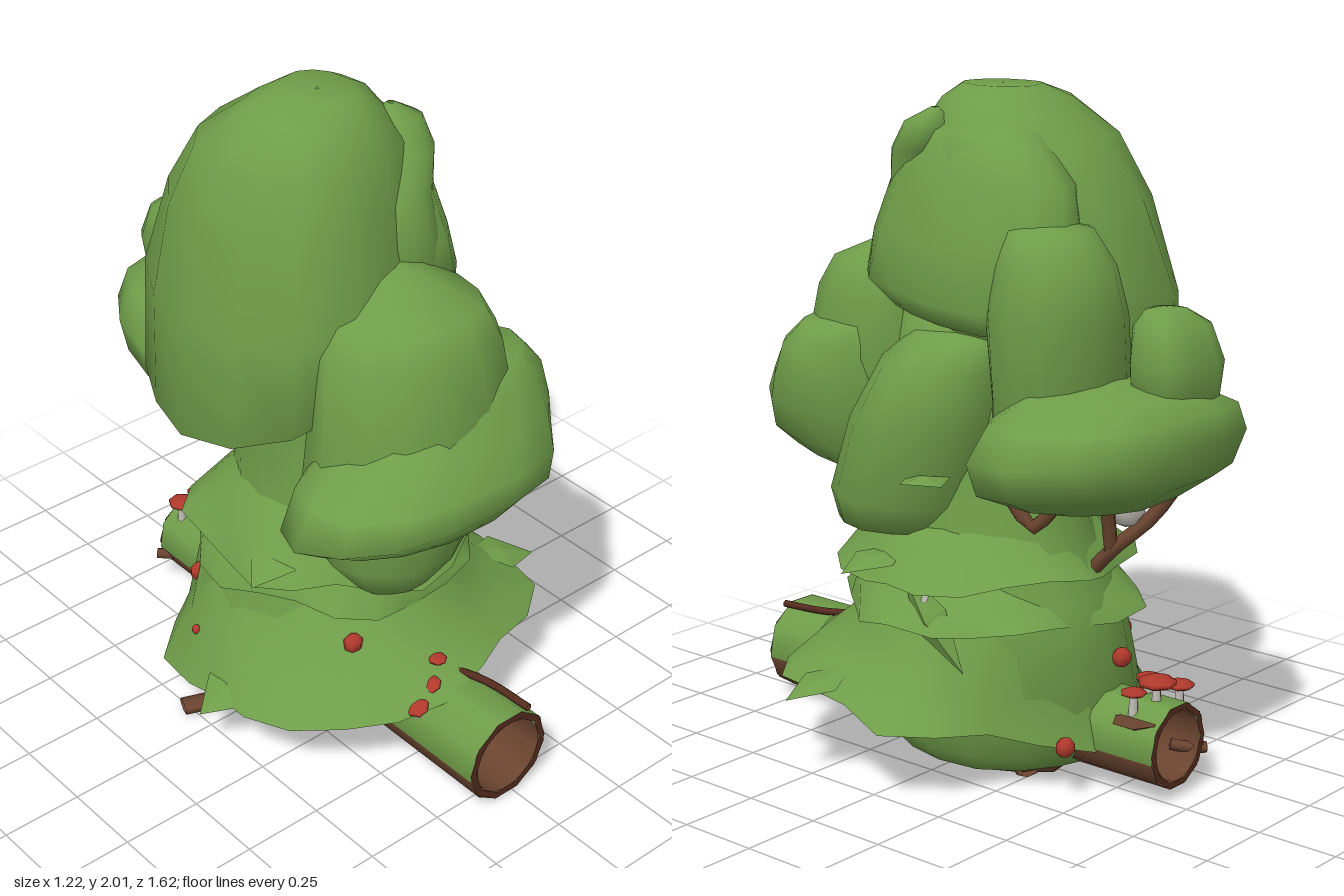
import * as THREE from 'three';

const mat = (name, color, side = THREE.DoubleSide) => {
  const m = new THREE.MeshStandardMaterial({ color, side });
  m.name = name;
  return m;
};
const power = (v, e) => Math.sign(v) * Math.abs(v) ** e;

export function createModel() {
  const root = new THREE.Group();
  root.name = 'overgrownTree';
  const green = mat('leaf green', 0x6f9d49);
  const brown = mat('bark brown', 0x6b4530);
  const darkBrown = mat('dark bark', 0x552c1e);
  const red = mat('berry red', 0xb0392c);
  const grey = mat('pale grey', 0xc2beb6);

  const add = (name, geo, material, parent = root) => {
    const m = new THREE.Mesh(geo, material);
    m.name = name;
    parent.add(m);
    return m;
  };

  // Lofted lump from rings [y, cx, cz, rx, rz, slopeX, slopeZ], bottom to top.
  function loft(rings, { seg = 16, amp = 0.05, seed = 1, jag = 0, box = 1 } = {}) {
    const pos = [], idx = [];
    rings.forEach(([y, cx, cz, rx, rz, sx = 0, sz = 0], i) => {
      for (let j = 0; j < seg; j++) {
        const a = (j / seg) * Math.PI * 2;
        let k = 1 + amp * (0.6 * Math.sin(3 * a + seed + i * 0.5) + 0.4 * Math.sin(5 * a + seed * 2.3 - i * 0.6));
        if (i === 0) k += jag * Math.sin(j * 1.7 + seed * 3);
        const x = rx * k * power(Math.cos(a), box), z = rz * k * power(Math.sin(a), box);
        const drop = i === 0 ? jag * 0.3 * Math.sin(j * 1.3 + seed) : 0;
        pos.push(cx + x, y + sx * x + sz * z + drop, cz + z);
        if (i < rings.length - 1) {
          const n = (j + 1) % seg, p = i * seg, q = p + seg;
          idx.push(p + j, q + j, q + n, p + j, q + n, p + n);
        }
      }
    });
    const g = new THREE.BufferGeometry();
    g.setAttribute('position', new THREE.Float32BufferAttribute(pos, 3));
    g.setIndex(idx);
    g.computeVertexNormals();
    return g;
  }

  // Body inside the leaf layers
  add('body', loft([
    [0.02, -0.06, -0.02, 0.01, 0.01], [0.03, -0.06, -0.02, 0.3, 0.34], [0.09, -0.06, -0.02, 0.36, 0.4],
    [0.22, -0.05, -0.03, 0.38, 0.43], [0.4, -0.02, -0.03, 0.36, 0.42], [0.55, 0, -0.03, 0.34, 0.4], [0.75, 0, 0, 0.29, 0.33],
    [1.0, 0, 0, 0.28, 0.32], [1.35, -0.03, 0, 0.25, 0.28], [1.4, -0.03, 0, 0.01, 0.01],
  ], { seed: 2, amp: 0.03 }), green);

  // Leaf skirts around the trunk
  const skirts = [
    [[0.205, -0.01, 0.08, 0.56, 0.53, 0.07, 0.13], [0.3, -0.01, 0.05, 0.45, 0.48, 0.05, 0.06], [0.41, 0, 0, 0.38, 0.43], [0.54, 0, -0.03, 0.31, 0.39]],
    [[0.49, 0.02, -0.03, 0.43, 0.44, 0.02, -0.02], [0.55, 0.01, -0.02, 0.39, 0.41], [0.64, 0, 0, 0.3, 0.33]],
    [[0.6, 0.01, 0, 0.44, 0.43, 0.05, -0.05], [0.67, 0, 0, 0.37, 0.38], [0.78, 0, 0.02, 0.27, 0.3]],
  ];
  skirts.forEach((r, i) => add('leafSkirt' + (i + 1), loft(r, { seg: 22, amp: 0.05, seed: i + 1.4, jag: 0.06 }), green));

  // Foliage masses
  const blobs = {
    crown: [[1.13, -0.13, -0.08, 0.01, 0.01], [1.13, -0.13, -0.08, 0.28, 0.3, 0.45, 0.12], [1.2, -0.13, -0.08, 0.385, 0.42, 0.45, 0.12],
      [1.45, -0.13, -0.08, 0.36, 0.42, 0.2], [1.7, -0.1, -0.07, 0.34, 0.35, 0.08], [1.86, -0.09, -0.04, 0.29, 0.28],
      [1.96, -0.08, -0.01, 0.19, 0.18], [2.0, -0.06, -0.01, 0.1, 0.12], [2.0, -0.06, -0.01, 0.005, 0.005]],
    crownSide: [[1.37, 0.12, -0.06, 0.01, 0.01], [1.35, 0.12, -0.06, 0.15, 0.28, 0, 0.1], [1.42, 0.13, -0.05, 0.19, 0.36, 0, 0.1],
      [1.58, 0.11, -0.07, 0.185, 0.36], [1.75, 0.09, -0.08, 0.16, 0.31], [1.88, 0.07, -0.06, 0.12, 0.2], [1.96, 0.03, -0.03, 0.01, 0.01]],
    crownRidge: [[1.38, 0.08, 0.22, 0.01, 0.01], [1.43, 0.07, 0.22, 0.1, 0.08], [1.6, 0.06, 0.22, 0.11, 0.08],
      [1.72, 0.06, 0.2, 0.1, 0.07], [1.82, 0.12, 0.14, 0.09, 0.08], [1.9, 0.13, 0.1, 0.07, 0.07], [1.94, 0.12, 0.09, 0.01, 0.01]],
    backShoulder: [[0.85, 0.06, -0.3, 0.01, 0.01], [0.9, 0.06, -0.3, 0.2, 0.14], [1.15, 0.08, -0.36, 0.23, 0.17],
      [1.4, 0.11, -0.36, 0.22, 0.18], [1.54, 0.13, -0.36, 0.17, 0.17], [1.64, 0.13, -0.33, 0.12, 0.13], [1.67, 0.13, -0.3, 0.01, 0.01]],
    rightMass: [[0.71, 0.17, 0.16, 0.01, 0.01], [0.73, 0.17, 0.16, 0.19, 0.21], [0.82, 0.18, 0.14, 0.22, 0.25],
      [1.05, 0.18, 0.06, 0.23, 0.25], [1.22, 0.17, 0.0, 0.2, 0.21], [1.31, 0.15, -0.04, 0.13, 0.15], [1.33, 0.14, -0.04, 0.01, 0.01]],
    frontMass: [[0.63, -0.14, 0.42, 0.01, 0.01], [0.65, -0.14, 0.42, 0.13, 0.1], [0.76, -0.13, 0.4, 0.22, 0.19],
      [0.95, -0.08, 0.37, 0.29, 0.25], [1.2, -0.04, 0.37, 0.3, 0.25], [1.38, -0.04, 0.34, 0.27, 0.24],
      [1.47, -0.03, 0.31, 0.22, 0.22], [1.55, -0.02, 0.25, 0.08, 0.1], [1.57, -0.02, 0.25, 0.005, 0.005]],
    frontLobe: [[0.9, -0.08, 0.47, 0.01, 0.01], [0.875, -0.09, 0.47, 0.34, 0.22, 0, 0.18], [0.94, -0.1, 0.47, 0.43, 0.27, 0, 0.15],
      [1.04, -0.06, 0.46, 0.41, 0.27, 0, 0.05], [1.13, 0.02, 0.44, 0.34, 0.23], [1.23, 0.07, 0.43, 0.27, 0.19],
      [1.29, 0.1, 0.41, 0.19, 0.15], [1.3, 0.12, 0.4, 0.01, 0.01]],
    backLobe: [[0.92, 0.06, -0.48, 0.01, 0.01], [0.9, 0.06, -0.47, 0.3, 0.21], [0.95, 0.06, -0.49, 0.4, 0.29, 0, -0.08],
      [1.05, 0.07, -0.5, 0.43, 0.31, 0, -0.08], [1.14, 0.07, -0.51, 0.37, 0.29, 0, -0.06], [1.2, 0.07, -0.52, 0.26, 0.21], [1.23, 0.07, -0.52, 0.01, 0.01]],
    backKnob: [[1.1, -0.05, -0.64, 0.01, 0.01], [1.14, -0.05, -0.64, 0.12, 0.1], [1.28, -0.05, -0.645, 0.135, 0.11],
      [1.38, -0.05, -0.63, 0.115, 0.09], [1.42, -0.05, -0.61, 0.06, 0.05], [1.43, -0.05, -0.61, 0.005, 0.005]],
  };
  const boxiness = { backLobe: 0.82, backKnob: 0.72 };
  Object.entries(blobs).forEach(([name, r], i) =>
    add(name, loft(r, { seg: 14, amp: 0.06, seed: i * 1.7, box: boxiness[name] ?? 0.94 }), green));

  // Loose pointed leaves [x, y, z, length, thickness, width, turn, droop]
  [[0.5, 0.29, 0.21, 0.12, 0.012, 0.09, -0.3, -0.3], [-0.5, 0.2, 0.1, 0.12, 0.012, 0.1, Math.PI, -0.3],
    [0.36, 0.92, -0.08, 0.1, 0.015, 0.08, 1.2, 0.05], [0.38, 0.52, -0.12, 0.18, 0.07, 0.03, Math.PI / 2, -0.85],
    [-0.36, 0.63, 0.14, 0.11, 0.012, 0.08, 3.4, -0.3], [0.38, 0.66, 0.1, 0.12, 0.012, 0.09, -0.2, -0.2],
  ].forEach(([x, y, z, l, t, w, turn, droop]) => {
    const leaf = add('leaf', new THREE.OctahedronGeometry(1), green);
    leaf.scale.set(l, t, w);
    leaf.rotation.set(0, turn, droop);
    leaf.position.set(x, y, z);
  });

  // Hollow logs, mossy above and bark below
  function log(name, x, y, z0, z1, r, barkHalfAngle) {
    const g = new THREE.Group();
    g.name = name;
    g.position.set(x, y, (z0 + z1) / 2);
    root.add(g);
    const len = z1 - z0;
    const shell = (label, rad, start, span, m, segs) => {
      add(label, new THREE.CylinderGeometry(rad, rad, len, segs, 1, true, start, span), m, g).rotation.x = Math.PI / 2;
    };
    shell('bark', r, -barkHalfAngle, 2 * barkHalfAngle, brown, 5);
    shell('moss', r, barkHalfAngle, 2 * (Math.PI - barkHalfAngle), green, 5);
    shell('hollow', r * 0.85, 0, Math.PI * 2, brown, 10);
    for (const s of [-1, 1]) add('rim', new THREE.RingGeometry(r * 0.85, r, 10), darkBrown, g).position.z = s * len / 2;
  }
  log('frontLog', -0.03, 0.148, 0.3, 0.81, 0.148, 1.43);
  log('backLog', -0.05, 0.155, -0.68, -0.35, 0.128, 1.37);

  // Shelf on the side of the back log
  const shelf = add('logShelf', new THREE.ConeGeometry(0.07, 0.03, 6), brown);
  shelf.position.set(0.05, 0.225, -0.6);
  shelf.rotation.x = Math.PI;

  // Twigs and roots
  const tube = (name, pts, r, m = brown) =>
    add(name, new THREE.TubeGeometry(new THREE.CatmullRomCurve3(pts.map((p) => new THREE.Vector3(...p))), 8, r, 6), m);
  tube('logTwig', [[0.045, 0.288, 0.81], [0.03, 0.293, 0.65], [-0.03, 0.3, 0.5]], 0.012, darkBrown);
  tube('logStub', [[-0.12, 0.12, -0.6], [-0.16, 0.11, -0.65], [-0.19, 0.11, -0.68]], 0.018);
  tube('twig', [[0.22, 0.93, -0.22], [0.19, 0.84, -0.28], [0.18, 0.79, -0.32], [0.17, 0.84, -0.38], [0.15, 0.94, -0.43]], 0.022);
  tube('twig', [[-0.04, 0.58, -0.33], [-0.05, 0.7, -0.44], [-0.12, 0.79, -0.52], [-0.16, 0.92, -0.6]], 0.022);
  tube('twig', [[-0.05, 0.69, -0.43], [-0.02, 0.8, -0.44], [0.02, 0.93, -0.46]], 0.022);

  add('rootMat', loft([[0.0, -0.04, -0.02, 0.01, 0.01], [0.0, -0.04, -0.02, 0.21, 0.25], [0.035, -0.04, -0.02, 0.22, 0.26]],
    { seg: 20, amp: 0.22, seed: 4 }), brown);
  [[-0.53, -0.1], [-0.36, 0.14], [-0.3, -0.28], [0.17, 0.06], [0.12, -0.26]].forEach(([x, z]) => {
    const r = tube('root', [[-0.1, 0.04, 0], [(x - 0.1) / 2, 0.04, z / 2 + 0.03], [x, 0.035, z]], 0.035);
    r.scale.y = 0.55;
  });

  // Berries, stones and a pale lump under the back lobe
  const ball = (name, m, p, sx, sy = sx, sz = sx) => {
    const b = add(name, new THREE.SphereGeometry(1, 7, 5), m);
    b.position.set(...p);
    b.scale.set(sx, sy, sz);
    return b;
  };
  [[-0.24, 0.4, 0.36], [-0.12, 0.17, 0.41], [-0.04, 0.38, -0.48], [-0.33, 0.35, -0.26], [0.18, 0.16, -0.45],
    [-0.25, 0.13, -0.38], [0.38, 0.31, 0.1]].forEach((p) => ball('berry', red, p, 0.033, 0.03, 0.028));
  ball('smallBerry', red, [-0.44, 0.25, -0.14], 0.015);
  ball('stone', grey, [0.05, 0.03, 0.34], 0.06, 0.035, 0.06);
  ball('paleLump', grey, [-0.09, 0.82, -0.45], 0.05, 0.065, 0.065);
  ball('paleFleck', grey, [-0.09, 0.63, 0.42], 0.03, 0.02, 0.02);

  // Mushrooms [x, cap y, z, radius, stem length]
  [[-0.18, 0.265, 0.58, 0.036, 0.03], [-0.11, 0.3, 0.56, 0.032, 0.05], [-0.05, 0.34, 0.52, 0.03, 0.05],
    [-0.05, 0.33, -0.6, 0.06, 0.07], [-0.12, 0.31, -0.63, 0.045, 0.07], [0.02, 0.31, -0.57, 0.04, 0.07], [-0.09, 0.32, -0.54, 0.04, 0.07],
    [0.26, 0.6, 0.31, 0.02, 0.025], [0.38, 0.6, -0.1, 0.022, 0.025], [-0.35, 0.59, 0.13, 0.022, 0.025]].forEach(([x, y, z, r, stem], i) => {
    ball('mushroomCap', red, [x, y, z], r, r * 0.32, r).rotation.z = i < 2 ? 0.4 : 0;
    add('mushroomStem', new THREE.CylinderGeometry(0.012, 0.016, stem, 6), grey).position.set(x, y - stem / 2, z);
  });

  return root;
}
